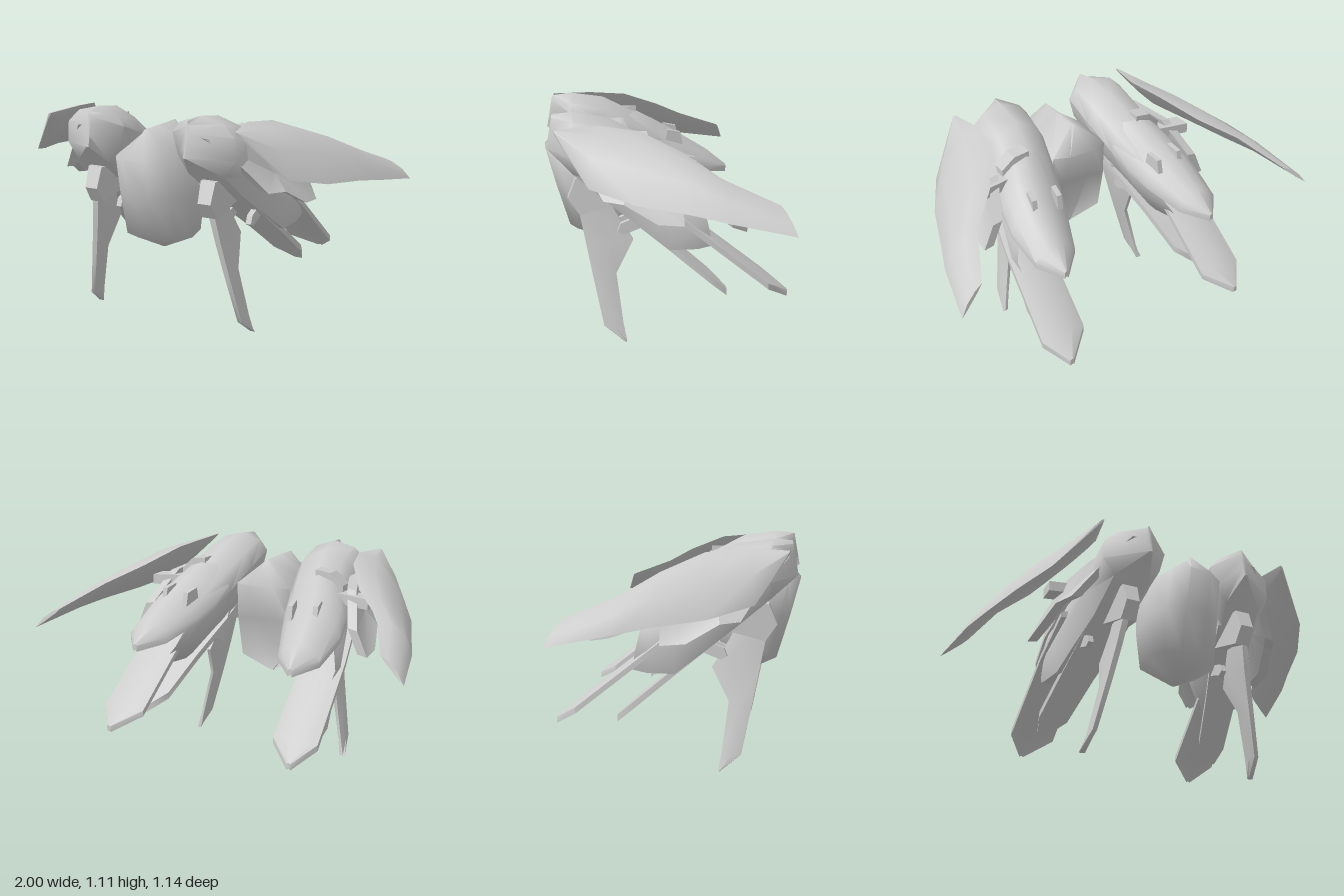
import * as THREE from 'three';
import { toCreasedNormals } from 'three/addons/utils/BufferGeometryUtils.js';

const material = new THREE.MeshStandardMaterial({ color: 0xcccccc, side: THREE.DoubleSide });

// Closed skin through rings of equal point count; side = -1 mirrors it in x.
function loft(rings, side = 1, crease = 0.7) {
  const n = rings[0].length, pos = [], idx = [];
  rings.forEach(r => r.forEach(p => pos.push(p[0] * side, p[1], p[2])));
  for (let i = 0; i < rings.length - 1; i++)
    for (let j = 0; j < n; j++) {
      const k = (j + 1) % n, a = i * n + j, b = i * n + k, c = a + n, d = b + n;
      idx.push(a, b, d, a, d, c);
    }
  [0, rings.length - 1].forEach((r, e) => {
    const c = pos.length / 3;
    const m = [0, 1, 2].map(q => rings[r].reduce((s, p) => s + p[q], 0) / n);
    pos.push(m[0] * side, m[1], m[2]);
    for (let j = 0; j < n; j++) {
      const a = r * n + j, b = r * n + (j + 1) % n;
      idx.push(...(e ? [a, b, c] : [b, a, c]));
    }
  });
  // Turn the faces outward whatever the ring direction
  const v = i => new THREE.Vector3(...pos.slice(i * 3, i * 3 + 3));
  let volume = 0;
  for (let i = 0; i < idx.length; i += 3) volume += v(idx[i]).dot(v(idx[i + 1]).cross(v(idx[i + 2])));
  if (volume < 0) for (let i = 0; i < idx.length; i += 3) [idx[i], idx[i + 1]] = [idx[i + 1], idx[i]];
  const g = new THREE.BufferGeometry();
  g.setAttribute('position', new THREE.Float32BufferAttribute(pos, 3));
  g.setIndex(idx);
  return toCreasedNormals(g.toNonIndexed(), crease);
}

function add(group, name, geometry) {
  const mesh = new THREE.Mesh(geometry, material);
  mesh.name = name;
  group.add(mesh);
}

// Arched slat: stations of [z, y of crown, x inner, x outer, drop of edges]
function slat(stations, thick, side) {
  return loft(stations.map(([z, y, a, b, drop]) => {
    const top = [0, 0.1, 0.28, 0.5, 0.72, 0.9, 1].map(t =>
      [a + (b - a) * t, y - drop * (2 * t - 1) ** 2, z]);
    return [...top, ...top.map(p => [p[0], p[1] - thick, z]).reverse()];
  }), side);
}

// Flat bar along a path of points
function bar(path, w, h, side) {
  return loft(path.map(([x, y, z]) =>
    [[-w, h * 0.5], [w, h * 0.5], [w, -h], [-w, -h]].map(([dz, dy]) => [x, y + dy, z + dz])), side, 0.5);
}

function buildSide(side) {
  const g = new THREE.Group();
  g.name = side > 0 ? 'leftAssembly' : 'rightAssembly';

  // Nacelle: [z top, z bottom, top, bottom, x inner, x outer, outward lean of the bottom]
  const body = [
    [0.535, 0.565, 1.095, 0.93, 0.25, 0.27, 0],
    [0.44, 0.44, 1.105, 0.83, 0.13, 0.45, 0.02],
    [0.27, 0.27, 1.08, 0.69, 0.135, 0.46, 0.06],
    [0.1, 0.1, 0.99, 0.56, 0.17, 0.49, 0.1],
    [0.0, 0.0, 0.93, 0.485, 0.2, 0.51, 0.11],
    [-0.1, -0.13, 0.86, 0.49, 0.25, 0.53, 0.09],
    [-0.13, -0.2, 0.82, 0.505, 0.28, 0.53, 0.08],
  ].map(([zt, zb, t, b, a, o, lean]) => {
    const w = o - a, h = t - b;
    return [
      [a + w * 0.45, 0], [a + w * 0.12, 0.13], [a, 0.32], [a + lean * 0.6 + w * 0.05, 0.7],
      [a + lean + w * 0.2, 1], [o - w * 0.2 + lean * 0.6, 1], [o + lean * 0.3, 0.7],
      [o, 0.32], [o - w * 0.2, 0.1],
    ].map(([x, s]) => [x, t - h * s, zt + (zb - zt) * s]);
  });
  // Recess in the open rear end
  const rear = body[body.length - 1];
  body.push(rear.map(([x, y, z]) => [0.43 + (x - 0.43) * 0.8, 0.65 + (y - 0.65) * 0.8, z + 0.1]));
  add(g, 'nacelleBody', loft(body, side, 1));

  add(g, 'upperShell', slat([
    [0.32, 1.05, 0.16, 0.43, 0.1], [0.1, 0.998, 0.18, 0.49, 0.12], [0.0, 0.942, 0.2, 0.53, 0.13],
    [-0.12, 0.87, 0.24, 0.55, 0.12], [-0.31, 0.75, 0.315, 0.53, 0.07], [-0.42, 0.66, 0.42, 0.44, 0.01],
  ], 0.03, side));
  add(g, 'rearPlate', slat([
    [0.1, 0.79, 0.3, 0.54, 0.02], [-0.1, 0.635, 0.35, 0.57, 0.02],
    [-0.46, 0.355, 0.365, 0.595, 0.025], [-0.57, 0.265, 0.49, 0.51, 0.005],
  ], 0.03, side));
  add(g, 'frontPlate', slat([
    [0.34, 0.785, 0.22, 0.41, 0], [0.2, 0.67, 0.25, 0.45, 0], [0.0, 0.51, 0.32, 0.49, 0],
    [-0.2, 0.345, 0.38, 0.53, 0], [-0.275, 0.28, 0.47, 0.51, 0],
  ], 0.035, side));

  // Curved wing: upper and lower edge points with a bulge between
  const wing = [
    [[0.49, 1.065, 0.53], [0.51, 1.04, 0.52], 0.01],
    [[0.455, 1.075, 0.33], [0.69, 0.84, 0.38], 0.055],
    [[0.5, 1.055, 0.14], [0.8, 0.79, 0.18], 0.065],
    [[0.61, 0.975, -0.05], [0.88, 0.765, -0.05], 0.06],
    [[0.76, 0.89, -0.2], [0.935, 0.74, -0.2], 0.04],
    [[0.87, 0.795, -0.44], [1.0, 0.69, -0.49], 0.015],
  ].map(([u, l, b]) => {
    const at = (t, d) => [
      u[0] + (l[0] - u[0]) * t + d * 0.65, u[1] + (l[1] - u[1]) * t + d * 0.76, u[2] + (l[2] - u[2]) * t];
    return [u, at(0.25, b * 0.85), at(0.65, b), l, at(0.75, b * -0.2), at(0.25, b * -0.25)];
  });
  add(g, 'wing', loft(wing, side, 0.9));

  // Slanted panel wrapping from the nose to below the wing
  const outline = [[0.52, 1.02], [0.39, 0.87], [0.31, 0.745], [0.22, 0.74], [0.07, 0.655],
    [-0.05, 0.645], [-0.05, 0.77], [0.1, 0.93], [0.3, 0.97]];
  add(g, 'sidePanel', loft([0, -0.05].map(d => outline.map(([z, y]) =>
    [0.53 + (0.95 - y) * 0.43 + d - Math.max(0, z - 0.2) * 0.5, y - d * 0.2, z])), side, 0.4));

  // Wing arm with its strap over the nacelle
  add(g, 'armStrap', bar([[0.32, 1.005, 0.13], [0.4, 0.995, 0.13], [0.465, 0.935, 0.14]], 0.04, 0.025, side));
  add(g, 'wingArm', bar([[0.44, 0.9, 0.11], [0.62, 0.89, 0.09]], 0.045, 0.035, side));

  // Small pegs above and below the nacelle
  [[0.29, 0.87, -0.11], [0.42, 0.88, -0.1]].forEach(([x, y, z]) =>
    add(g, 'topPeg', loft([-0.013, 0.013].map(d =>
      [[0.045, -0.03], [0.035, 0.025], [-0.035, 0.01], [-0.05, -0.06]].map(([a, b]) =>
        [x + d - a * 0.15, y + b, z + a])), side, 0.4)));
  [[0.3, 0.57], [0.43, 0.58]].forEach(([x, y]) =>
    add(g, 'lowerPeg', loft([-0.014, 0.014].map(d =>
      [[0.15, 0.05], [0.225, 0.02], [0.24, -0.02], [0.21, -0.035], [0.12, 0]].map(([z, b]) =>
        [x + d, y + b, z])), side, 0.4)));

  // Hip bracket, widening to the back, and hanging fin
  add(g, 'finHip', loft([-1, 1].map(s =>
    [[0.43, 0.8], [0.47, 0.7], [0.415, 0.62], [0.2, 0.68], [0.24, 0.8]].map(([z, y]) =>
      [0.31 + s * (0.033 + (0.47 - z) * 0.12), y, z])), side, 0.4));
  const fin = [
    [0.7, 0.32, 0.42, 0.28, 0.025], [0.62, 0.325, 0.415, 0.24, 0.025], [0.49, 0.345, 0.39, 0.16, 0.024],
    [0.33, 0.375, 0.36, 0.245, 0.022], [0.08, 0.425, 0.31, 0.215, 0.018], [0, 0.445, 0.21, 0.2, 0.015],
  ].map(([y, x, f, b, t]) => [
    [x - t * 0.6, y, f], [x + t * 0.6, y, f], [x + t, y, (f + b) / 2],
    [x + t * 0.4, y, b], [x - t * 0.4, y, b], [x - t, y, (f + b) / 2]]);
  add(g, 'lowerFin', loft(fin, side, 0.7));
  return g;
}

export function createModel() {
  const model = new THREE.Group();

  // Central pod, ridged at top and bottom, hollowed below at the back
  const pod = [
    [1.02, 0.005, 0.47, 0.18, 0], [0.89, 0.18, 0.575, 0.11, 0], [0.7, 0.185, 0.525, 0.13, 0.05],
    [0.485, 0.18, 0.46, 0.18, 0.09], [0.4, 0.01, 0.3, 0.25, 0],
  ].map(([y, w, f, b, dent]) => {
    const d = f - b;
    const half = [[0.3, f], [0.75, f - d * 0.13], [1, f - d * 0.42], [0.85, b + d * 0.07], [0.4, b + dent]];
    return [...half.map(([x, z]) => [x * w, y, z]), ...half.map(([x, z]) => [-x * w, y, z]).reverse()];
  });
  add(model, 'centralPod', loft(pod, 1, 1.3));

  model.add(buildSide(1), buildSide(-1));
  return model;
}
